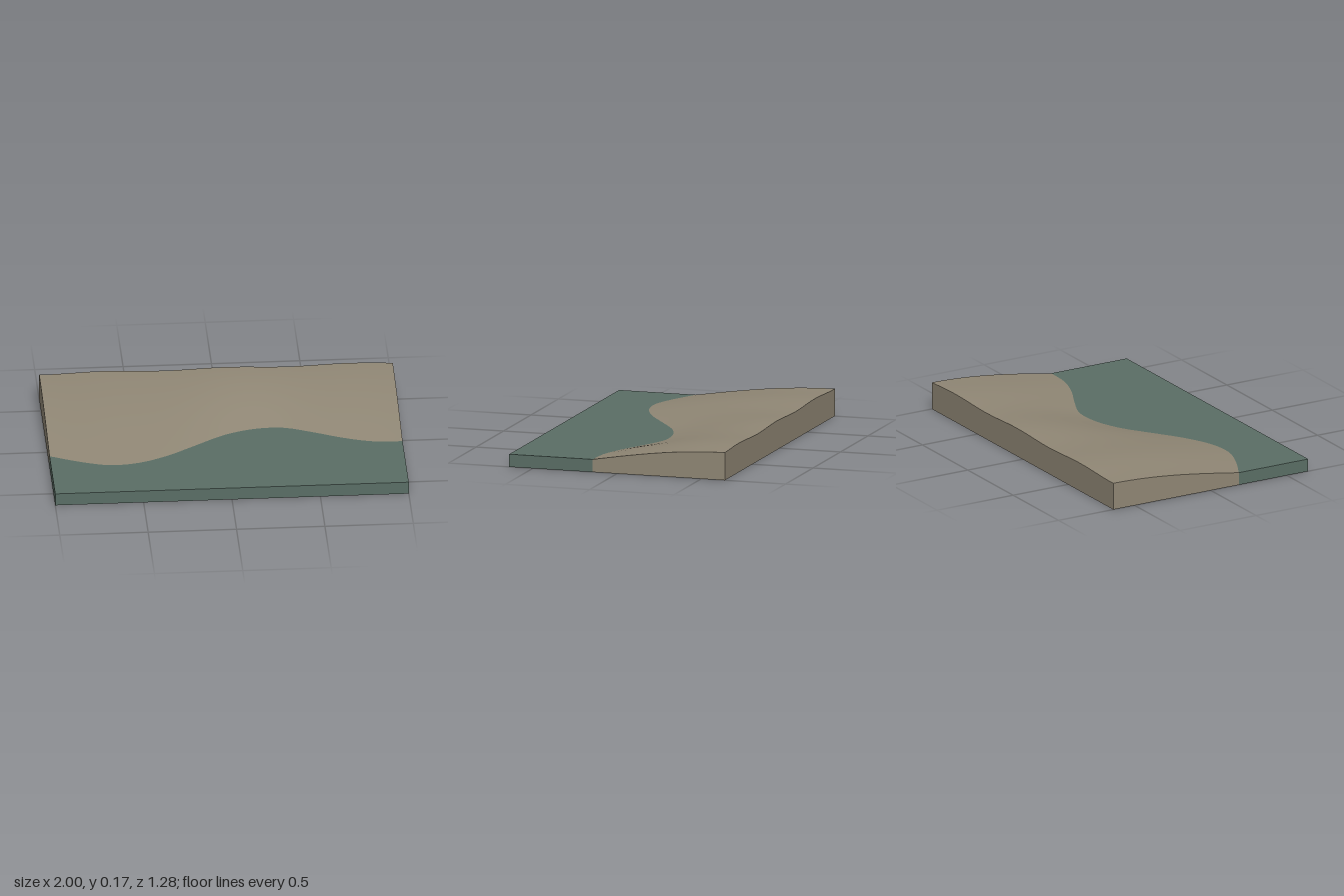
import * as THREE from 'three';

const HALF_DEPTH = 0.64, WATER_Y = 0.073, COLS = 36, ROWS = 16;

// Shoreline z at evenly spaced x from -1 to 1
const SHORE = [0.185, 0.265, 0.317, 0.3, 0.225, 0.112, 0, -0.06, -0.066, 0, 0.08, 0.135, 0.145];
const shoreCurve = new THREE.CatmullRomCurve3(
  SHORE.map((z, i) => new THREE.Vector3(-1 + (2 * i) / (SHORE.length - 1), 0, z)));
const shoreZ = (x) => shoreCurve.getPoint((x + 1) / 2).z;

// Land rises from the shore (t = 0) to a gently rolling back edge (t = 1)
const landZ = (x, t) => THREE.MathUtils.lerp(shoreZ(x), -HALF_DEPTH, t);
function landY(x, t) {
  const crest = 0.162 + 0.005 * Math.cos((2 * Math.PI * (x - 0.06)) / 0.69);
  return WATER_Y + (crest - WATER_Y) * Math.sin((t * Math.PI) / 2);
}

// Surface patch: u runs right and v runs up as seen from outside
function patch(nu, nv, point) {
  const pos = [], idx = [];
  for (let j = 0; j <= nv; j++)
    for (let i = 0; i <= nu; i++) pos.push(...point(i / nu, j / nv));
  for (let j = 0; j < nv; j++)
    for (let i = 0; i < nu; i++) {
      const a = j * (nu + 1) + i, b = a + 1, c = a + nu + 1, d = c + 1;
      idx.push(a, b, d, a, d, c);
    }
  const g = new THREE.BufferGeometry();
  g.setAttribute('position', new THREE.Float32BufferAttribute(pos, 3));
  g.setIndex(idx);
  g.computeVertexNormals();
  return g;
}

export function createModel() {
  const sand = new THREE.MeshStandardMaterial({ color: 0x908775 });
  sand.name = 'sand';
  const sea = new THREE.MeshStandardMaterial({ color: 0x5a6e65 });
  sea.name = 'water';

  const land = new THREE.Group();
  land.name = 'land';
  const water = new THREE.Group();
  water.name = 'water';
  const add = (group, name, material, geometry) => {
    const mesh = new THREE.Mesh(geometry, material);
    mesh.name = name;
    group.add(mesh);
  };

  // Sloping beach, back wall and underside
  add(land, 'beachSurface', sand, patch(COLS, ROWS, (u, v) => {
    const x = 2 * u - 1;
    return [x, landY(x, v), landZ(x, v)];
  }));
  add(land, 'backWall', sand, patch(COLS, 1, (u, v) => {
    const x = 1 - 2 * u;
    return [x, v * landY(x, 1), -HALF_DEPTH];
  }));
  add(land, 'underside', sand, patch(1, 1, (u, v) =>
    [2 * u - 1, 0, HALF_DEPTH * (2 * v - 1)]));

  // Flat water top and front wall
  add(water, 'waterSurface', sea, patch(COLS, 1, (u, v) => {
    const x = 2 * u - 1;
    return [x, WATER_Y, THREE.MathUtils.lerp(HALF_DEPTH, shoreZ(x), v)];
  }));
  add(water, 'frontWall', sea, patch(1, 1, (u, v) => [2 * u - 1, v * WATER_Y, HALF_DEPTH]));

  // Side walls, split where the shore meets each side
  for (const [x, side] of [[1, 'left'], [-1, 'right']]) {
    const along = (u) => (x > 0 ? u : 1 - u);
    add(land, side + 'LandWall', sand, patch(ROWS, 1, (u, v) =>
      [x, v * landY(x, along(u)), landZ(x, along(u))]));
    add(water, side + 'WaterWall', sea, patch(1, 1, (u, v) =>
      [x, v * WATER_Y, THREE.MathUtils.lerp(HALF_DEPTH, shoreZ(x), along(u))]));
  }

  const model = new THREE.Group();
  model.name = 'shorelineTile';
  model.add(land, water);
  return model;
}
